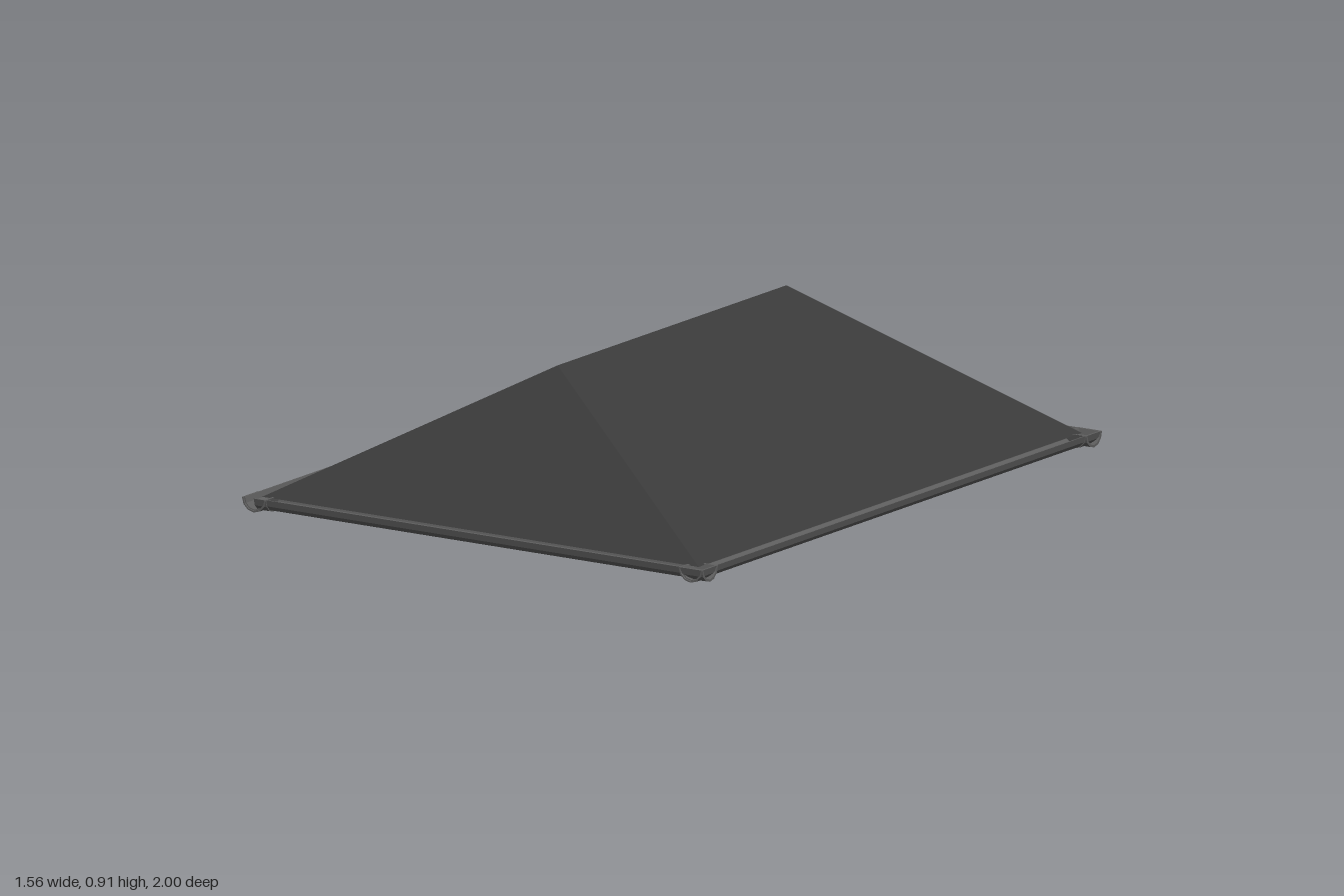
import * as THREE from 'three';

const roofGrey = new THREE.MeshStandardMaterial({ name: 'roofGrey', color: 0x3a3a3a, side: THREE.DoubleSide, flatShading: true });
const gutterGrey = new THREE.MeshStandardMaterial({ name: 'gutterGrey', color: 0x5e5e5e, side: THREE.DoubleSide });

const EAVE_X = 0.74, EAVE_Z = 0.958, EAVE_Y = 0.507, RIDGE_Y = 0.91, RIDGE_Z = 0.572;
const OUT_X = 0.78, OUT_Z = 1;

// Hipped roof shell, open underneath
function hipRoof() {
  const a = [-EAVE_X, EAVE_Y, EAVE_Z], b = [EAVE_X, EAVE_Y, EAVE_Z];
  const c = [EAVE_X, EAVE_Y, -EAVE_Z], d = [-EAVE_X, EAVE_Y, -EAVE_Z];
  const f = [0, RIDGE_Y, RIDGE_Z], r = [0, RIDGE_Y, -RIDGE_Z];
  const tris = [a, b, f, c, d, r, b, c, r, b, r, f, d, a, f, d, f, r];
  const geo = new THREE.BufferGeometry();
  geo.setAttribute('position', new THREE.Float32BufferAttribute(tris.flat(), 3));
  geo.computeVertexNormals();
  return geo;
}

// Half-round channel running along z, centred on its length
function channel(radius, wall, length) {
  const pts = [], n = 6;
  for (let i = 0; i <= n; i++) {
    const t = Math.PI + (i / n) * Math.PI;
    pts.push(new THREE.Vector2(radius * Math.cos(t), radius * Math.sin(t)));
  }
  for (let i = n; i >= 0; i--) {
    const t = Math.PI + (i / n) * Math.PI;
    pts.push(new THREE.Vector2((radius - wall) * Math.cos(t), (radius - wall) * Math.sin(t)));
  }
  const geo = new THREE.ExtrudeGeometry(new THREE.Shape(pts), { depth: length, bevelEnabled: false });
  return geo.translate(0, 0, -length / 2);
}

export function createModel() {
  const model = new THREE.Group();
  model.name = 'hipRoofWithGutters';
  const add = (name, geo, mat, x = 0, y = 0, z = 0, turn = 0) => {
    const m = new THREE.Mesh(geo, mat);
    m.name = name;
    m.position.set(x, y, z);
    m.rotation.y = turn;
    model.add(m);
  };

  add('roof', hipRoof(), roofGrey);

  const top = 0.51, quarter = Math.PI / 2;
  // Side gutters run the full depth with a sleeve at each end
  for (const s of [-1, 1]) {
    const side = s < 0 ? 'right' : 'left';
    add(side + 'Gutter', channel(0.037, 0.004, 2 * OUT_Z - 0.01), gutterGrey, s * EAVE_X, top, 0);
    for (const e of [-1, 1])
      add(side + 'GutterSleeve', channel(0.04, 0.004, 0.08), gutterGrey, s * EAVE_X, top, e * (OUT_Z - 0.04));
  }
  // End gutters stop short inside the right-hand gutter
  const x0 = -EAVE_X, x1 = OUT_X;
  for (const e of [-1, 1]) {
    const end = e < 0 ? 'back' : 'front';
    add(end + 'Gutter', channel(0.037, 0.004, x1 - x0), gutterGrey, (x0 + x1) / 2, top, e * 0.96, quarter);
    add(end + 'GutterSleeve', channel(0.04, 0.004, 0.04), gutterGrey, x0 + 0.02, top, e * 0.96, quarter);
    add(end + 'GutterSleeve', channel(0.04, 0.004, 0.08), gutterGrey, x1 - 0.04, top, e * 0.96, quarter);
  }

  // Downpipe with a bent outlet
  const v = (x, y) => new THREE.Vector3(x, y, -0.855);
  const path = new THREE.CurvePath();
  path.add(new THREE.LineCurve3(v(-0.74, 0.48), v(-0.74, 0.066)));
  path.add(new THREE.QuadraticBezierCurve3(v(-0.74, 0.066), v(-0.74, 0.018), v(-0.7, 0.018)));
  path.add(new THREE.LineCurve3(v(-0.7, 0.018), v(-0.67, 0.018)));
  add('downpipe', new THREE.TubeGeometry(path, 50, 0.017, 10, false), gutterGrey);

  return model;
}
